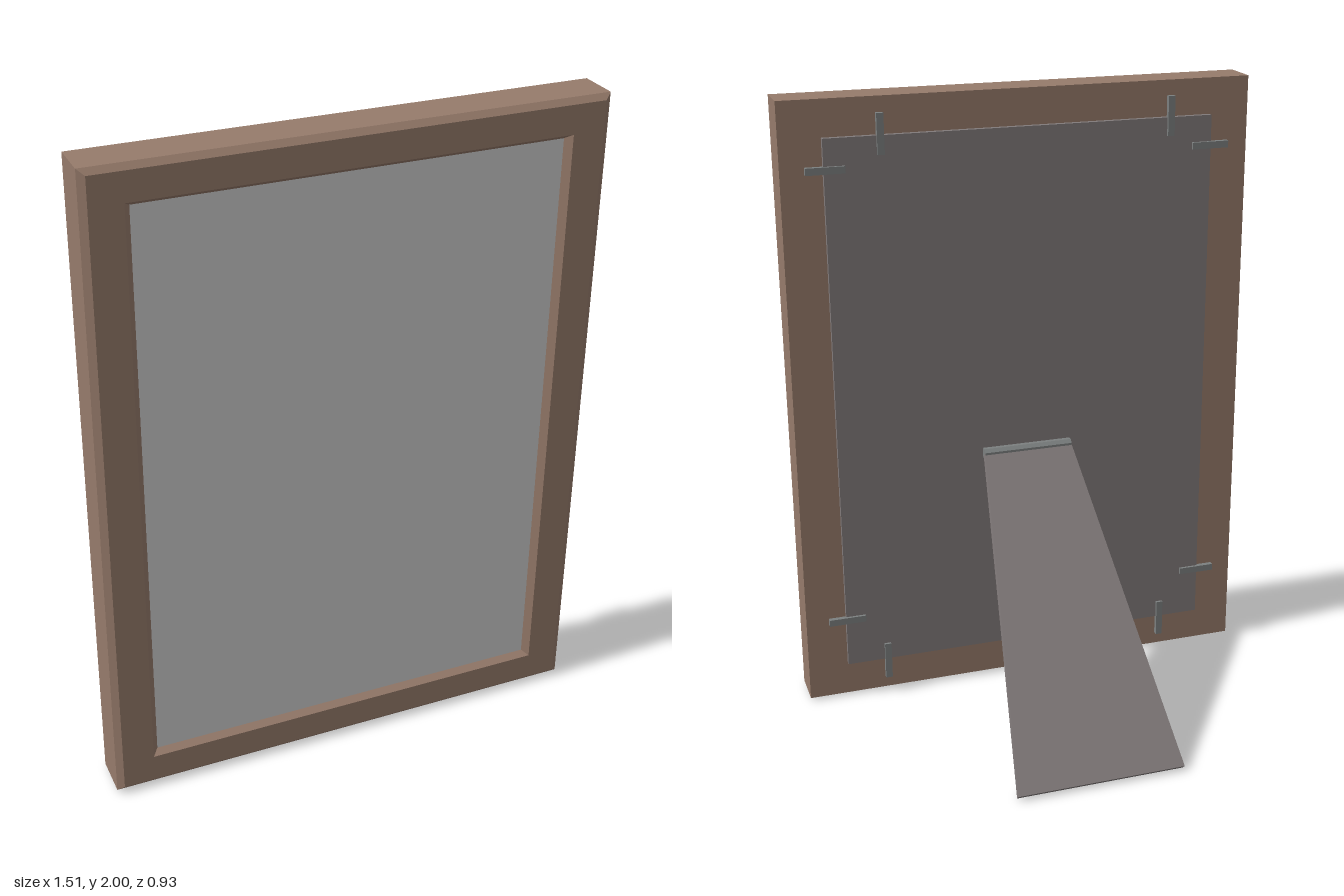
import * as THREE from 'three';

const mat = (color, extra = {}) => new THREE.MeshStandardMaterial({ color, ...extra });
const CY = 1.005; // height of the frame's centre

export function createModel() {
  const group = new THREE.Group();
  const wood = mat(0x967b6b, { flatShading: true });
  const board = mat(0x817a7a);
  const metal = mat(0x7c8080, { flatShading: true });
  const picture = mat(0xcccccc);

  const add = (name, geometry, material, x = 0, y = 0, z = 0) => {
    const mesh = new THREE.Mesh(geometry, material);
    mesh.name = name;
    mesh.position.set(x, y, z);
    group.add(mesh);
    return mesh;
  };

  // Mitred frame: one moulding profile (half width, half height, z) swept round four corners
  const profile = [
    [0.755, 0.995, 0.325],
    [0.755, 0.995, 0.45],
    [0.735, 0.978, 0.465],
    [0.64, 0.892, 0.465],
    [0.622, 0.878, 0.445],
    [0.622, 0.878, 0.325],
  ];
  const corners = [[-1, -1], [1, -1], [1, 1], [-1, 1]];
  const point = (p, c) => [p[0] * c[0], p[1] * c[1], p[2]];
  const positions = [];
  profile.forEach((p, i) => {
    const q = profile[(i + 1) % profile.length];
    corners.forEach((c, j) => {
      const d = corners[(j + 1) % 4];
      const quad = [point(p, c), point(p, d), point(q, d), point(q, c)];
      for (const k of [0, 1, 2, 0, 2, 3]) positions.push(...quad[k]);
    });
  });
  const frame = new THREE.BufferGeometry();
  frame.setAttribute('position', new THREE.Float32BufferAttribute(positions, 3));
  frame.computeVertexNormals();
  add('frame', frame, wood, 0, CY);

  // Picture panel and backing board
  add('picturePanel', new THREE.BoxGeometry(1.244, 1.756, 0.015), picture, 0, CY, 0.4375);
  add('backingBoard', new THREE.BoxGeometry(1.25, 1.76, 0.024), board, 0, CY, 0.32);

  // Retaining clips: two near each corner, one across each edge
  const clipZ = 0.307;
  for (const [sx, sy] of corners) {
    add('sideClip', new THREE.BoxGeometry(0.122, 0.022, 0.016), metal, sx * 0.621, sy > 0 ? 1.79 : 0.29, clipZ);
    const x = sx < 0 ? -0.485 : sy > 0 ? 0.45 : 0.49;
    add('edgeClip', new THREE.BoxGeometry(0.022, 0.126, 0.016), metal, x, CY + sy * 0.885, clipZ);
  }

  // Hinge barrel
  const hinge = new THREE.CylinderGeometry(0.019, 0.019, 0.296, 8);
  hinge.rotateY(Math.PI / 8).rotateZ(Math.PI / 2);
  add('hinge', hinge, metal, 0, 0.828, 0.294);

  // Easel leg: a board widening toward its foot, leaning out to the back
  const top = new THREE.Vector2(0.29, 0.825), foot = new THREE.Vector2(-0.453, 0.009); // z, y
  const length = top.distanceTo(foot);
  const outline = new THREE.Shape([
    new THREE.Vector2(-0.148, 0),
    new THREE.Vector2(-0.27, -length),
    new THREE.Vector2(0.27, -length),
    new THREE.Vector2(0.148, 0),
  ]);
  const legGeometry = new THREE.ExtrudeGeometry(outline, { depth: 0.024, bevelEnabled: false });
  legGeometry.translate(0, 0, -0.012);
  const leg = add('easelLeg', legGeometry, board, 0, top.y, top.x);
  leg.rotation.x = Math.atan2(top.x - foot.x, top.y - foot.y);

  return group;
}
